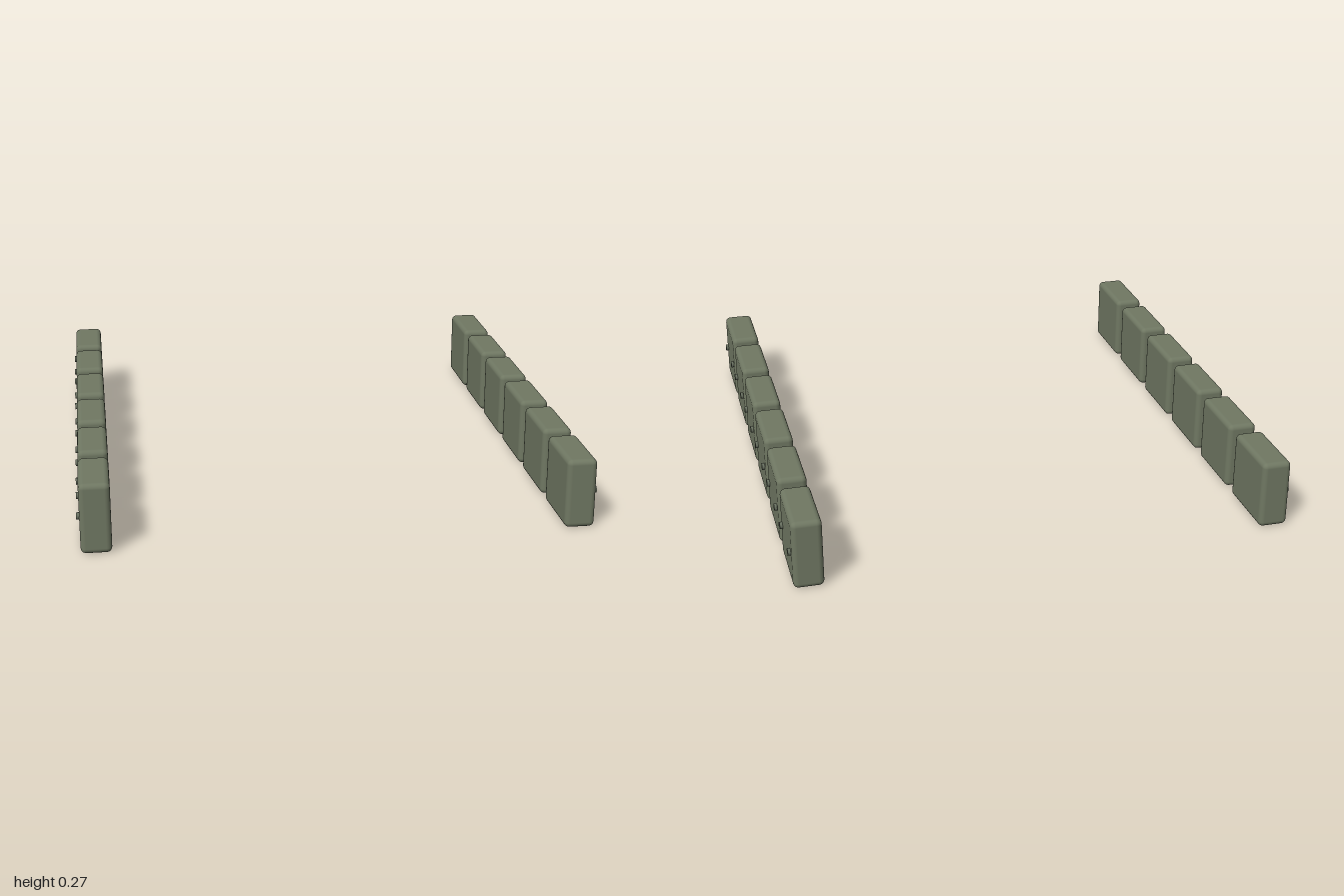
import * as THREE from 'three';
import { RoundedBoxGeometry } from 'three/addons/geometries/RoundedBoxGeometry.js';

const COUNT = 6;
const PITCH = 0.3424;
const SIZE = { x: 0.114, y: 0.27, z: 0.288 };
const BLOCK_X = 0.9;

export function createModel() {
  const model = new THREE.Group();
  model.name = 'armorBlockRows';

  const blockMaterial = new THREE.MeshStandardMaterial({ color: 0x6f7762 });
  const boltMaterial = new THREE.MeshStandardMaterial({ color: 0x687060 });

  const blockGeometry = new RoundedBoxGeometry(SIZE.x, SIZE.y, SIZE.z, 3, 0.02);
  const boltGeometry = new THREE.CylinderGeometry(0.0135, 0.0135, 0.022, 12);
  boltGeometry.rotateZ(Math.PI / 2);

  // One block with two bolts on its outer face
  function createBlock(side) {
    const group = new THREE.Group();
    group.name = 'armorBlock';
    const block = new THREE.Mesh(blockGeometry, blockMaterial);
    block.name = 'block';
    group.add(block);
    for (const end of [-1, 1]) {
      const bolt = new THREE.Mesh(boltGeometry, boltMaterial);
      bolt.name = 'bolt';
      bolt.position.set(side * SIZE.x / 2, 0, end * 0.099);
      group.add(bolt);
    }
    return group;
  }

  // A row of blocks along each side
  for (const side of [1, -1]) {
    const row = new THREE.Group();
    row.name = side > 0 ? 'leftRow' : 'rightRow';
    for (let i = 0; i < COUNT; i++) {
      const block = createBlock(side);
      block.position.set(side * BLOCK_X, SIZE.y / 2, (i - (COUNT - 1) / 2) * PITCH);
      row.add(block);
    }
    model.add(row);
  }
  return model;
}
